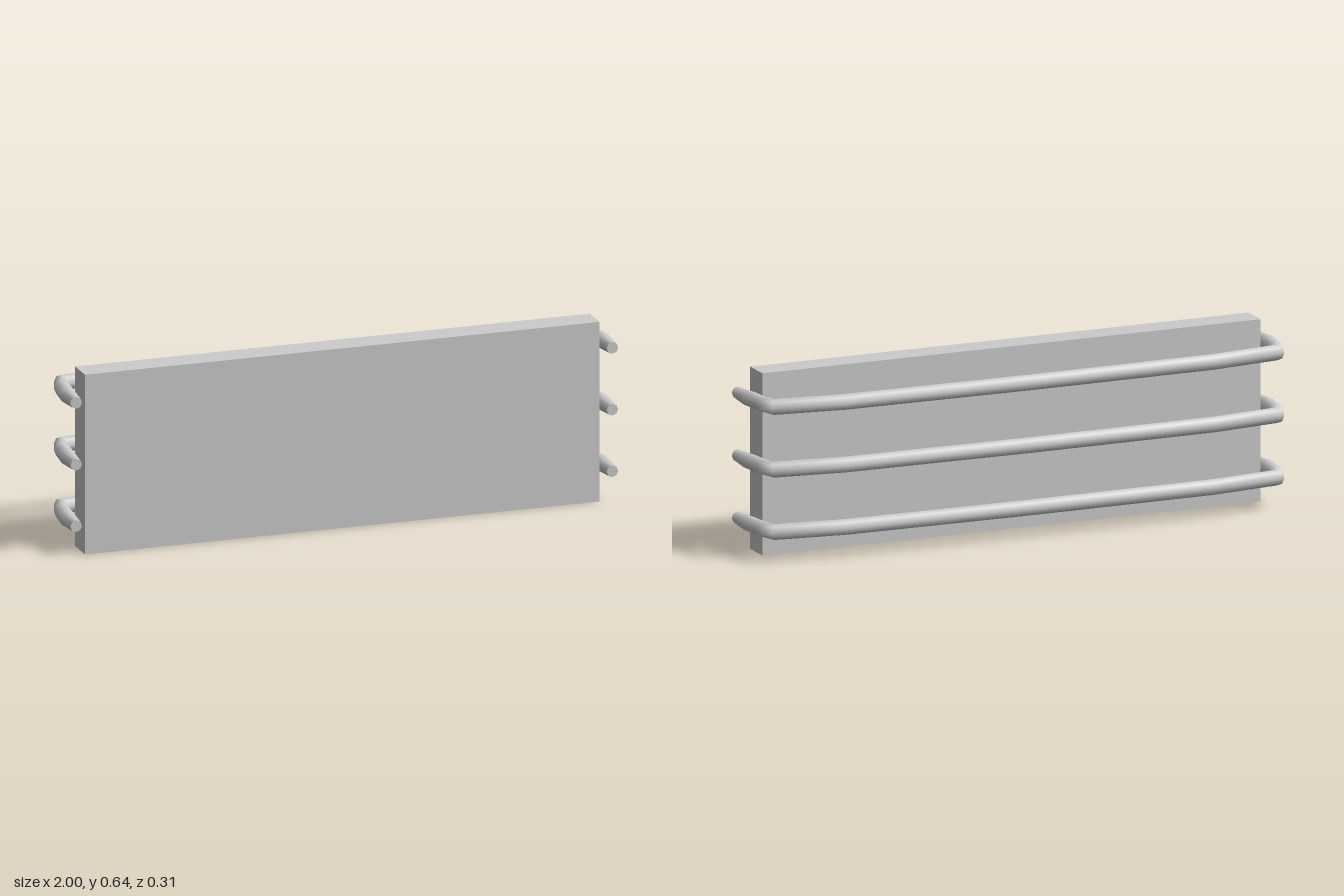
import * as THREE from 'three';

const SIDES = 8;
const material = new THREE.MeshStandardMaterial({ color: 0xcccccc });

// Right half of a rail's centre line, from the middle to the tip: [x, z, radius]
const half = [
  [0, -0.127, 0.028], [0.69, -0.119, 0.028], [0.942, -0.086, 0.028],
  [0.959, -0.03, 0.028], [0.97, 0.06, 0.0285], [0.972, 0.155, 0.021],
];

// Lofts octagonal rings along the bent centre line
function railGeometry() {
  const path = [...half.slice(1).reverse().map(([x, z, r]) => [-x, z, r]), ...half];
  const pos = [], index = [];
  path.forEach(([x, z, r], i) => {
    const dir = (a, b) => new THREE.Vector2(b[0] - a[0], b[1] - a[1]).normalize();
    const t = new THREE.Vector2();
    if (i > 0) t.add(dir(path[i - 1], path[i]));
    if (i < path.length - 1) t.add(dir(path[i], path[i + 1]));
    t.normalize();
    for (let s = 0; s < SIDES; s++) {
      const a = (s / SIDES) * Math.PI * 2;
      const u = Math.cos(a) * r;
      pos.push(x + t.y * u, Math.sin(a) * r, z - t.x * u);
      if (i < path.length - 1) {
        const n = (s + 1) % SIDES;
        const p = i * SIDES + s, q = i * SIDES + n;
        index.push(p, q, p + SIDES, q, q + SIDES, p + SIDES);
      }
    }
  });
  const g = new THREE.BufferGeometry();
  g.setAttribute('position', new THREE.Float32BufferAttribute(pos, 3));
  g.setIndex(index);
  // Make the winding face outwards: test the first face against its ring centre
  const v = (k) => new THREE.Vector3().fromArray(pos, index[k] * 3);
  const normal = v(1).sub(v(0)).cross(v(2).sub(v(0)));
  const out = v(0).add(v(1)).multiplyScalar(0.5).sub(new THREE.Vector3(path[0][0], 0, path[0][1]));
  if (normal.dot(out) < 0) g.setIndex(index.reverse());
  g.computeVertexNormals();
  return g;
}

export function createModel() {
  const group = new THREE.Group();

  // Flat rectangular panel
  const panel = new THREE.Mesh(new THREE.BoxGeometry(1.866, 0.642, 0.103), material);
  panel.name = 'panel';
  panel.position.set(0, 0.321, 0.083);
  group.add(panel);

  // Three rails wrapping the back and ends of the panel
  const geometry = railGeometry();
  const capGeometry = new THREE.CircleGeometry(0.021, SIDES);
  const [tipX, tipZ] = half[half.length - 1];
  [0.11, 0.33, 0.551].forEach((y, i) => {
    const rail = new THREE.Group();
    rail.name = 'rail' + (i + 1);
    rail.position.y = y;
    const bar = new THREE.Mesh(geometry, material);
    bar.name = 'railBar';
    rail.add(bar);
    for (const side of [-1, 1]) {
      const cap = new THREE.Mesh(capGeometry, material);
      cap.name = side > 0 ? 'leftRailTip' : 'rightRailTip';
      cap.position.set(side * tipX, 0, tipZ);
      rail.add(cap);
    }
    group.add(rail);
  });
  return group;
}
